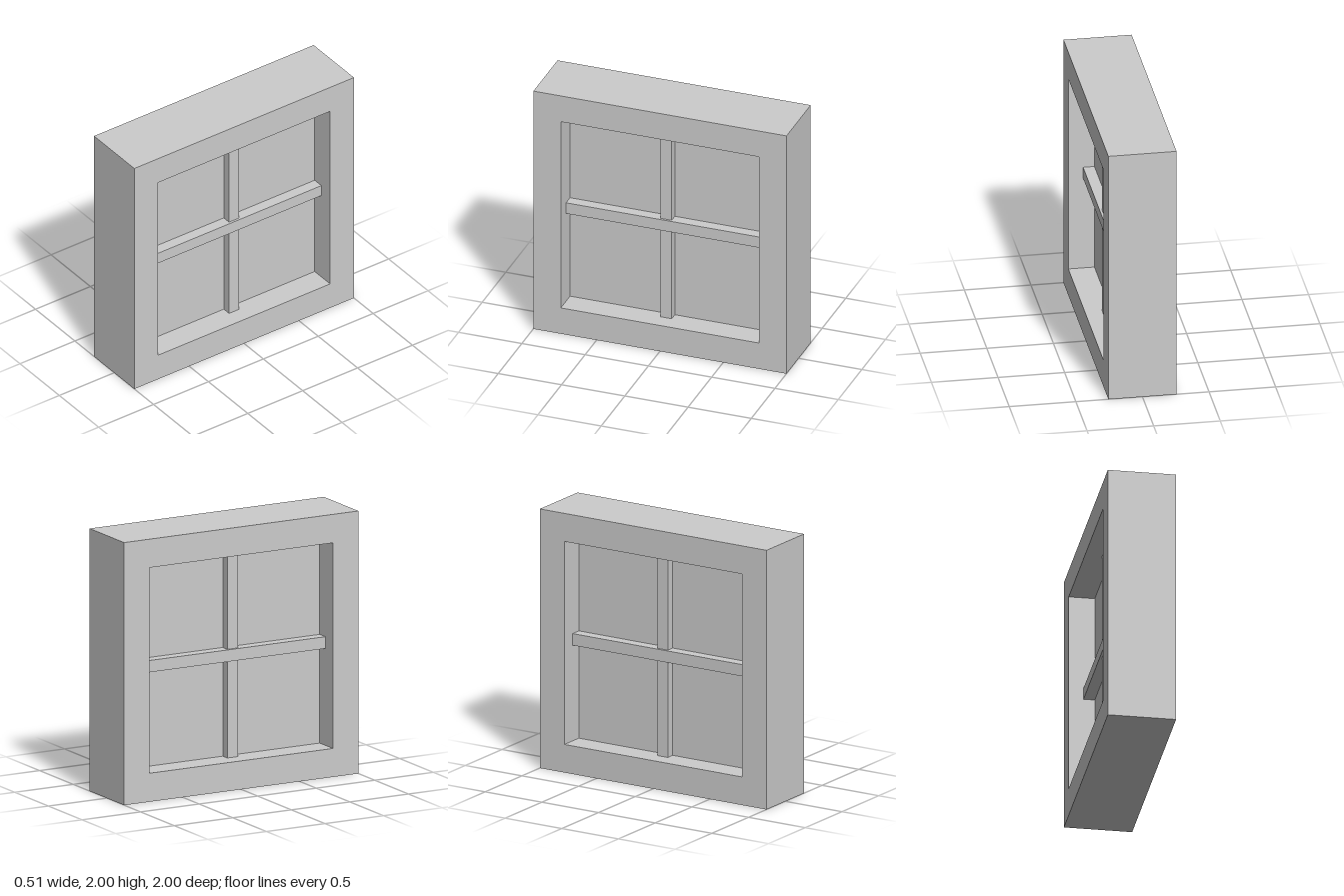
import * as THREE from 'three';

// Main dimensions
const HALF_DEPTH = 0.256;   // frame, along x
const HALF_OPENING = 0.783; // square opening, along y and z
const HALF_PANE = 0.06;     // pane, along x
const BAR = 0.09;           // bar width

const material = new THREE.MeshStandardMaterial({ color: 0xcccccc, flatShading: true });

function square(half, Type) {
  return new Type([[-half, -half], [half, -half], [half, half], [-half, half]]
    .map(([x, y]) => new THREE.Vector2(x, y)));
}

export function createModel() {
  const group = new THREE.Group();
  group.name = 'window';

  function add(name, geometry, x = 0) {
    const mesh = new THREE.Mesh(geometry, material);
    mesh.name = name;
    mesh.position.set(x, 1, 0);
    group.add(mesh);
  }

  // Thick square frame with a square opening, facing along x
  const outline = square(1, THREE.Shape);
  outline.holes.push(square(HALF_OPENING, THREE.Path));
  const frame = new THREE.ExtrudeGeometry(outline, { depth: 2 * HALF_DEPTH, bevelEnabled: false });
  frame.translate(0, 0, -HALF_DEPTH).rotateY(Math.PI / 2);
  add('frame', frame);

  // Solid pane in the middle of the opening
  const span = 2 * HALF_OPENING;
  add('pane', new THREE.BoxGeometry(2 * HALF_PANE, span, span));

  // Crossed bars on both faces; the horizontal one stands out further
  for (const side of [1, -1]) {
    const label = side > 0 ? 'left' : 'right';
    const bar = (name, depth, height, width) =>
      add(label + name, new THREE.BoxGeometry(depth, height, width), side * (HALF_PANE + depth / 2));
    bar('HorizontalBar', 0.085, BAR, span);
    const length = HALF_OPENING - BAR / 2;
    for (const [half, sign] of [['Upper', 1], ['Lower', -1]]) {
      const geometry = new THREE.BoxGeometry(0.067, length, BAR);
      geometry.translate(0, sign * (BAR + length) / 2, 0);
      add(label + half + 'VerticalBar', geometry, side * (HALF_PANE + 0.067 / 2));
    }
  }
  return group;
}
